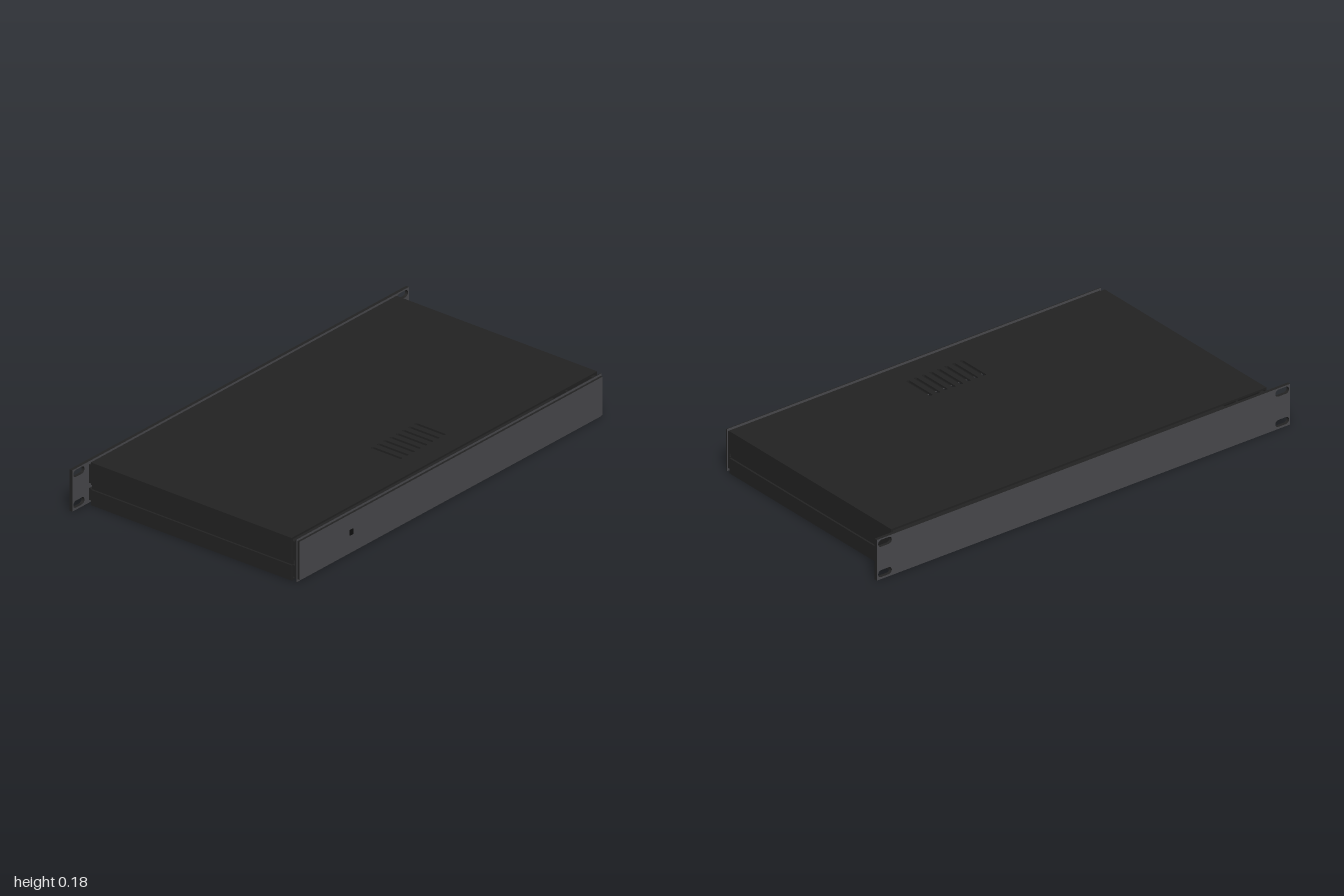
import * as THREE from 'three';

export function createModel() {
  const model = new THREE.Group();
  const caseBlack = new THREE.MeshStandardMaterial({ color: 0x232323 });
  caseBlack.name = 'caseBlack';
  const panelGrey = new THREE.MeshStandardMaterial({ color: 0x4a4a4d });
  panelGrey.name = 'panelGrey';
  const indicatorBlack = new THREE.MeshStandardMaterial({ color: 0x101010 });
  indicatorBlack.name = 'indicatorBlack';

  const add = (name, geometry, material) => {
    const mesh = new THREE.Mesh(geometry, material);
    mesh.name = name;
    model.add(mesh);
    return mesh;
  };

  // Box given by its lower and upper limits on each axis
  const box = (name, [x0, x1], [y0, y1], [z0, z1], material = caseBlack) => {
    const mesh = add(name, new THREE.BoxGeometry(x1 - x0, y1 - y0, z1 - z0), material);
    mesh.position.set((x0 + x1) / 2, (y0 + y1) / 2, (z0 + z1) / 2);
    return mesh;
  };

  const rectangle = (x0, x1, y0, y1) => new THREE.Shape([
    new THREE.Vector2(x0, y0), new THREE.Vector2(x1, y0),
    new THREE.Vector2(x1, y1), new THREE.Vector2(x0, y1),
  ]);

  // Slot with round ends, lying along x or standing along y
  const slot = (cx, cy, length, width, upright = false) => {
    const r = width / 2, h = length / 2 - r, q = Math.PI / 2;
    const path = new THREE.Path();
    if (upright) {
      path.absarc(cx, cy + h, r, 0, 2 * q);
      path.absarc(cx, cy - h, r, 2 * q, 4 * q);
    } else {
      path.absarc(cx + h, cy, r, -q, q);
      path.absarc(cx - h, cy, r, q, 3 * q);
    }
    path.closePath();
    return path;
  };

  const plate = (shape, depth) =>
    new THREE.ExtrudeGeometry(shape, { depth, bevelEnabled: false, curveSegments: 8 });

  const bodyZ = [-0.498, 0.493];

  // Lid with a row of vent slots near the front
  const lidShape = rectangle(-0.908, 0.908, -bodyZ[1], -bodyZ[0]);
  for (let i = 0; i < 8; i++) {
    lidShape.holes.push(slot((i - 3.5) * 0.037, -0.315, 0.15, 0.014, true));
  }
  const lid = add('lid', plate(lidShape, 0.008), caseBlack);
  lid.rotation.x = -Math.PI / 2;
  lid.position.y = 0.174;

  box('floor', [-0.908, 0.908], [0, 0.008], bodyZ);

  // Side walls: upper and lower bands, recessed channel and inner rails
  for (const side of [-1, 1]) {
    const span = (a, b) => (side > 0 ? [a, b] : [-b, -a]);
    box('upperSideWall', span(0.9, 0.908), [0.087, 0.174], bodyZ);
    box('lowerSideWall', span(0.9, 0.908), [0.008, 0.065], bodyZ);
    box('sideChannel', span(0.89, 0.9), [0.06, 0.092], bodyZ);
    box('upperRail', span(0.88, 0.9), [0.087, 0.166], [-0.513, 0.505]);
    box('lowerRail', span(0.88, 0.9), [0.015, 0.065], [-0.513, 0.505]);
  }

  // Front panel: grey face with dark edges over a thin surround
  const surround = add('frontSurround', plate(rectangle(-0.905, 0.905, 0, 0.182), 0.004),
    [panelGrey, caseBlack]);
  surround.position.z = 0.512;
  box('frontBacking', [-0.9, 0.9], [0.012, 0.172], [0.503, 0.512]);
  const front = add('frontPanel', plate(rectangle(-0.9, 0.9, 0.011, 0.173), 0.01),
    [panelGrey, caseBlack]);
  front.position.z = 0.516;
  box('indicator', [-0.602, -0.582], [0.083, 0.107], [0.524, 0.528], indicatorBlack);

  // Rack panel with two mounting slots in each ear
  const rackShape = rectangle(-1, 1, 0.003, 0.179);
  for (const x of [-0.961, 0.961]) {
    for (const y of [0.027, 0.158]) rackShape.holes.push(slot(x, y, 0.066, 0.03));
  }
  const rack = add('rackPanel', plate(rackShape, 0.014), [panelGrey, caseBlack]);
  rack.position.z = -0.527;

  return model;
}
